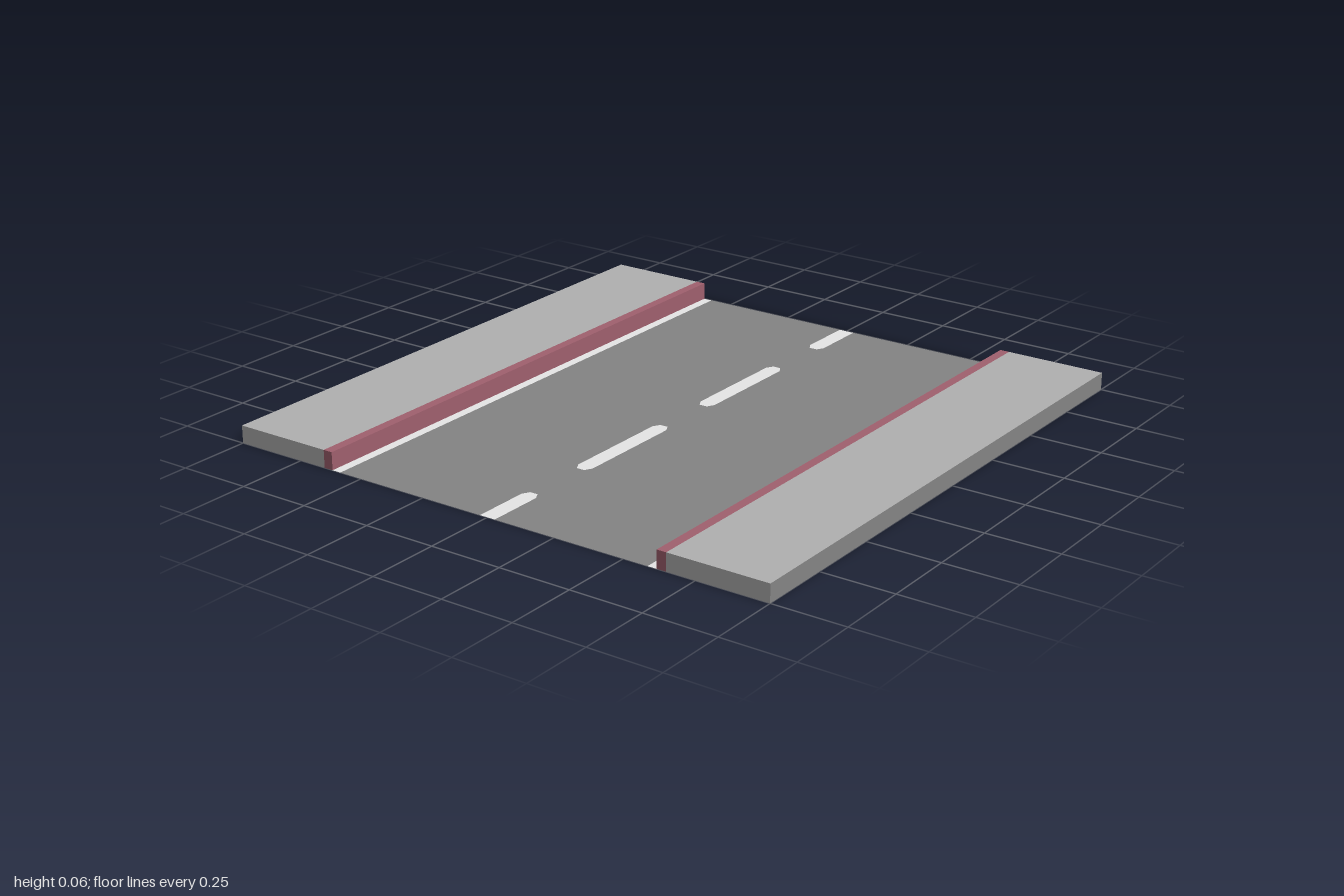
import * as THREE from 'three';

const mat = (name, color) => new THREE.MeshStandardMaterial({ name, color, side: THREE.DoubleSide });

export function createModel() {
  const model = new THREE.Group();
  model.name = 'roadSection';
  const asphalt = mat('asphalt grey', 0x848484);
  const paving = mat('paving grey', 0xb0b0b0);
  const kerbRed = mat('kerb red', 0xa0606e);
  const paint = mat('road paint', 0xe6e6e6);

  const H = 0.06;      // pavement height
  const KERB = 0.617;  // kerb face
  const PAVE = 0.65;   // kerb meets paving
  const LINE = 0.585;  // inner edge of the side line

  const add = (parent, name, geometry, material) => {
    const mesh = new THREE.Mesh(geometry, material);
    mesh.name = name;
    parent.add(mesh);
    return mesh;
  };
  // Single faces: level, facing along z, facing along x
  const level = (z0, z1, y) =>
    new THREE.PlaneGeometry(2, z1 - z0).rotateX(-Math.PI / 2).translate(0, y, (z0 + z1) / 2);
  const wall = (z, dir) =>
    new THREE.PlaneGeometry(2, H).rotateY(dir > 0 ? 0 : Math.PI).translate(0, H / 2, z);
  const cap = (z0, z1, side) =>
    new THREE.PlaneGeometry(z1 - z0, H).rotateY(side * Math.PI / 2).translate(side, H / 2, (z0 + z1) / 2);
  const flat = (shape) => new THREE.ShapeGeometry(shape).rotateX(-Math.PI / 2);
  const points = (list) => list.map(([x, y]) => new THREE.Vector2(x, y));

  // Dash outlines: whole ones with cut corners, and halves running off the ends
  const W = 0.028, N = 0.014, C = 0.025;
  const wholeDash = (a, b) => points([
    [a, -N], [a + C, -W], [b - C, -W], [b, -N], [b, N], [b - C, W], [a + C, W], [a, N]]);
  const endDash = (s) => points([
    [s, -s * W], [s * (0.78 + C), -s * W], [s * 0.78, -s * N],
    [s * 0.78, s * N], [s * (0.78 + C), s * W], [s, s * W]]);
  const wholes = [wholeDash(-0.55, -0.11), wholeDash(0.11, 0.55)];
  const ends = [endDash(1), endDash(-1)];

  // Road surface, cut out where the centre dashes lie flush
  const road = new THREE.Shape([
    ...points([[-1, -LINE], [1, -LINE]]), ...ends[0],
    ...points([[1, LINE], [-1, LINE]]), ...ends[1]]);
  road.holes = wholes.map((p) => new THREE.Path(p));
  add(model, 'roadSurface', flat(road), asphalt);
  for (const p of [...wholes, ...ends]) add(model, 'centreDash', flat(new THREE.Shape(p)), paint);

  // Side lines, kerbs and pavements: hollow shells open underneath
  for (const s of [1, -1]) {
    const span = (a, b) => (s > 0 ? [a, b] : [-b, -a]);
    const side = new THREE.Group();
    side.name = s > 0 ? 'frontPavement' : 'backPavement';
    model.add(side);
    add(side, 'sideLine', level(...span(LINE, KERB), 0), paint);
    add(side, 'kerbFace', wall(s * KERB, -s), kerbRed);
    add(side, 'kerbTop', level(...span(KERB, PAVE), H), kerbRed);
    add(side, 'pavingTop', level(...span(PAVE, 1), H), paving);
    add(side, 'outerWall', wall(s, s), asphalt);
    for (const e of [1, -1]) {
      add(side, 'kerbEnd', cap(...span(KERB, PAVE), e), kerbRed);
      add(side, 'pavingEnd', cap(...span(PAVE, 1), e), paving);
    }
  }
  return model;
}
